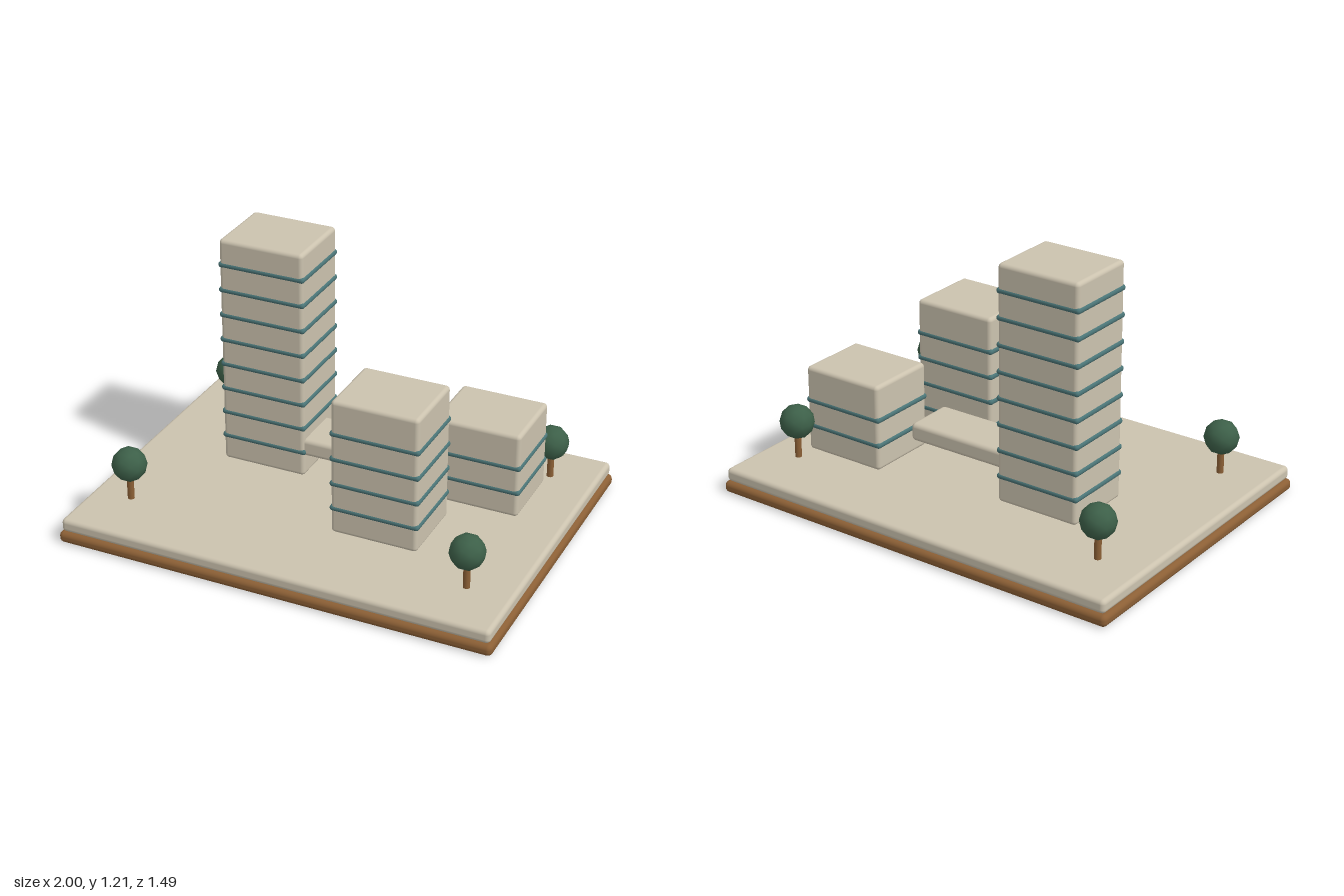
import * as THREE from 'three';
import { RoundedBoxGeometry } from 'three/addons/geometries/RoundedBoxGeometry.js';

const stone = new THREE.MeshStandardMaterial({ color: 0xcbc2ae });
const wood = new THREE.MeshStandardMaterial({ color: 0x8b5f35 });
const glass = new THREE.MeshStandardMaterial({ color: 0x4a7476 });
const leaf = new THREE.MeshStandardMaterial({ color: 0x3d6049 });

// Rounded block centred on x and z, standing at height y
function block(name, w, h, d, radius, material, x, y, z) {
  const mesh = new THREE.Mesh(new RoundedBoxGeometry(w, h, d, 4, radius), material);
  mesh.name = name;
  mesh.position.set(x, y + h / 2, z);
  return mesh;
}

const GROUND = 0.14;   // underside of the buildings
const BAND_STEP = 0.119;

// Block with window bands at each floor
function building(name, x, z, height, bands) {
  const group = new THREE.Group();
  group.name = name;
  group.position.set(x, GROUND, z);
  group.add(block('buildingBody', 0.395, height, 0.336, 0.018, stone, 0, 0, 0));
  for (let i = 0; i < bands; i++) {
    group.add(block('windowBand', 0.408, 0.027, 0.343, 0.0134, glass, 0, 0.105 + i * BAND_STEP, 0));
  }
  return group;
}

function tree(x, z) {
  const group = new THREE.Group();
  group.name = 'tree';
  group.position.set(x, 0.13, z);
  const trunk = new THREE.Mesh(new THREE.CylinderGeometry(0.015, 0.015, 0.12, 12), wood);
  trunk.name = 'trunk';
  trunk.position.y = 0.06;
  const crown = new THREE.Mesh(new THREE.IcosahedronGeometry(0.078, 1), leaf);
  crown.name = 'crown';
  crown.position.y = 0.17;
  group.add(trunk, crown);
  return group;
}

export function createModel() {
  const model = new THREE.Group();
  model.name = 'campusModel';

  // Plinth and ground slab
  model.add(block('woodenBase', 2, 0.053, 1.486, 0.022, wood, 0, 0, 0));
  model.add(block('groundSlab', 1.976, 0.062, 1.466, 0.02, stone, 0, 0.053, 0));

  // Buildings
  model.add(building('tallTower', -0.38, -0.161, 1.07, 8));
  model.add(building('middleTower', 0.316, 0.199, 0.632, 4));
  model.add(building('lowBlock', 0.593, -0.238, 0.396, 2));

  // Walkway from the tall tower
  model.add(block('walkway', 0.6, 0.083, 0.236, 0.02, stone, 0.05, 0.238, -0.121));

  // Corner trees
  const spots = [[-0.79, -0.48], [0.79, -0.48], [-0.79, 0.472], [0.79, 0.493]];
  for (const [x, z] of spots) model.add(tree(x, z));

  return model;
}
